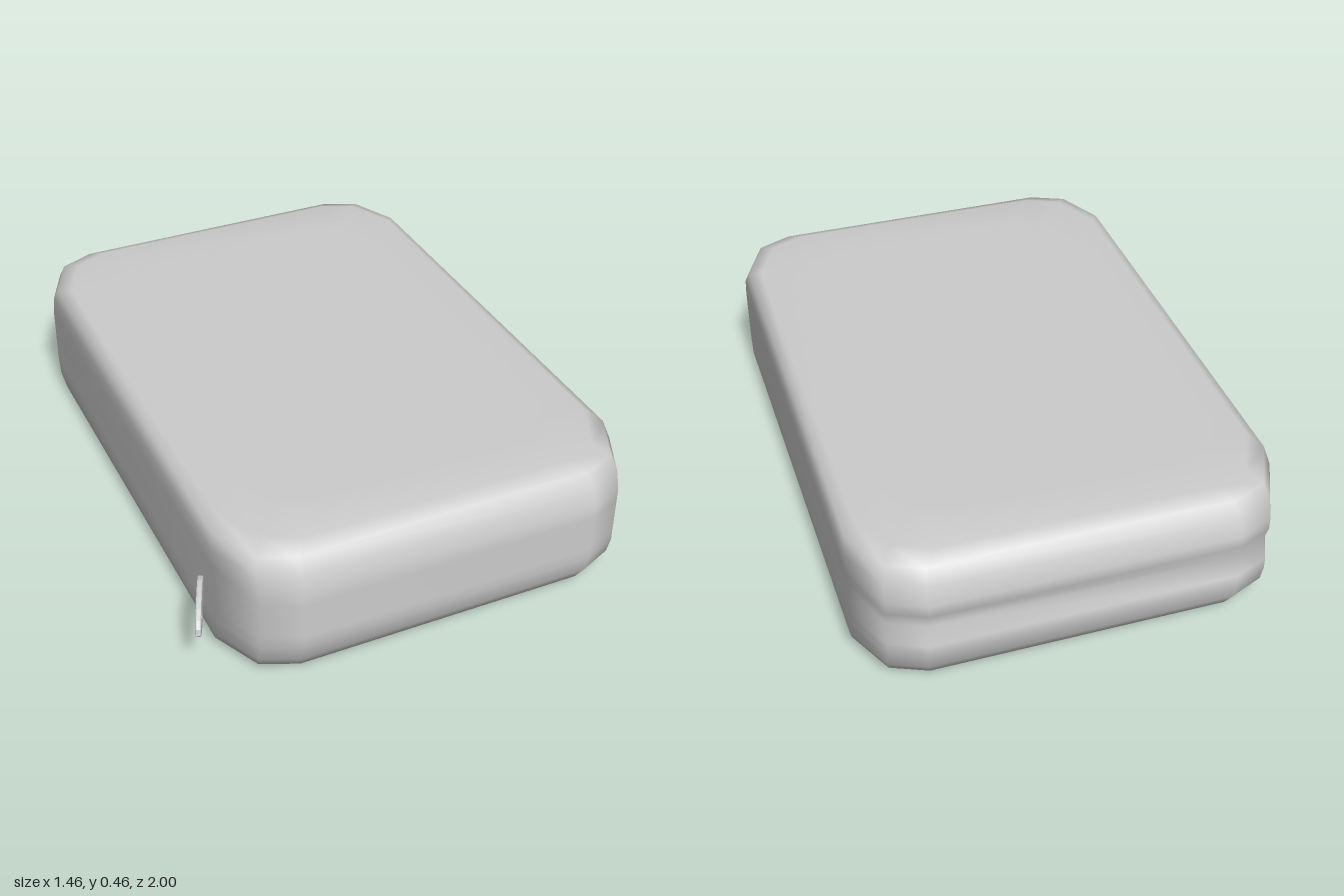
import * as THREE from 'three';

const material = new THREE.MeshStandardMaterial({ color: 0xcccccc });
const MID = 0.23; // seam height

// Soft case lofted from rounded-rectangle rings, stacked bottom to top
function caseGeometry() {
  const corner = [[0.68, 0.79], [0.605, 0.95], [0.49, 1]];
  const flipped = [...corner].reverse();
  const outline = [
    ...corner,
    ...flipped.map(([x, z]) => [-x, z]),
    ...corner.map(([x, z]) => [-x, -z]),
    ...flipped.map(([x, z]) => [x, -z]),
  ];
  // [height above seam, inset in x, inset in z, depth of the back groove]
  const upper = [
    [0.06, 0, 0, 0], [0.1, 0, 0, 0], [0.16, 0, 0.017, 0],
    [0.208, 0.01, 0.047, 0], [0.23, 0.047, 0.1, 0], [0.23, 0.17, 0.26, 0],
  ];
  const lower = upper.map(([h, ...rest]) => [-h, ...rest]).reverse();
  const levels = [...lower, [0, 0, 0, 0.025], ...upper];

  const n = outline.length;
  const positions = [];
  const index = [];
  for (const [h, insetX, insetZ, groove] of levels) {
    for (const [x, z] of outline) {
      const back = z < -0.9 ? groove : 0;
      positions.push(
        0.045 + x - Math.sign(x) * insetX,
        MID + h,
        z - Math.sign(z) * insetZ + back,
      );
    }
  }
  for (let j = 0; j < levels.length - 1; j++) {
    for (let i = 0; i < n; i++) {
      const k = (i + 1) % n;
      const a = j * n + i, b = j * n + k, c = b + n, d = a + n;
      index.push(a, d, c, a, c, b);
    }
  }
  // Flat bottom and top
  const bottom = positions.length / 3;
  positions.push(0.045, 0, 0, 0.045, 2 * MID, 0);
  const last = (levels.length - 1) * n;
  for (let i = 0; i < n; i++) {
    const k = (i + 1) % n;
    index.push(bottom, i, k, bottom + 1, last + k, last + i);
  }

  const geometry = new THREE.BufferGeometry();
  geometry.setAttribute('position', new THREE.Float32BufferAttribute(positions, 3));
  geometry.setIndex(index);
  geometry.computeVertexNormals();
  return geometry;
}

// Thin oval tab with an eyelet near its free end
function pullGeometry() {
  const shape = new THREE.Shape();
  shape.absellipse(0, 0, 0.1, 0.037, 0, Math.PI * 2);
  const hole = new THREE.Path();
  hole.moveTo(0.025, -0.016);
  hole.lineTo(0.025, 0.016);
  hole.lineTo(0.065, 0.014);
  hole.lineTo(0.065, -0.014);
  hole.closePath();
  shape.holes.push(hole);
  const geometry = new THREE.ExtrudeGeometry(shape, {
    depth: 0.008, curveSegments: 8,
    bevelEnabled: true, bevelSize: 0.005, bevelThickness: 0.005, bevelSegments: 2,
  });
  return geometry.translate(0, 0, -0.004);
}

export function createModel() {
  const group = new THREE.Group();

  const body = new THREE.Mesh(caseGeometry(), material);
  body.name = 'caseBody';
  group.add(body);

  // Zip pull hanging forward and down from the side
  const pull = new THREE.Mesh(pullGeometry(), material);
  pull.name = 'zipPull';
  const along = new THREE.Vector3(-0.08, -0.05, 0.18).normalize();
  const normal = new THREE.Vector3().crossVectors(along, new THREE.Vector3(0, 1, 0)).normalize();
  const across = new THREE.Vector3().crossVectors(normal, along);
  pull.quaternion.setFromRotationMatrix(new THREE.Matrix4().makeBasis(along, across, normal));
  pull.position.set(-0.683, 0.203, 0.78);
  group.add(pull);

  return group;
}
